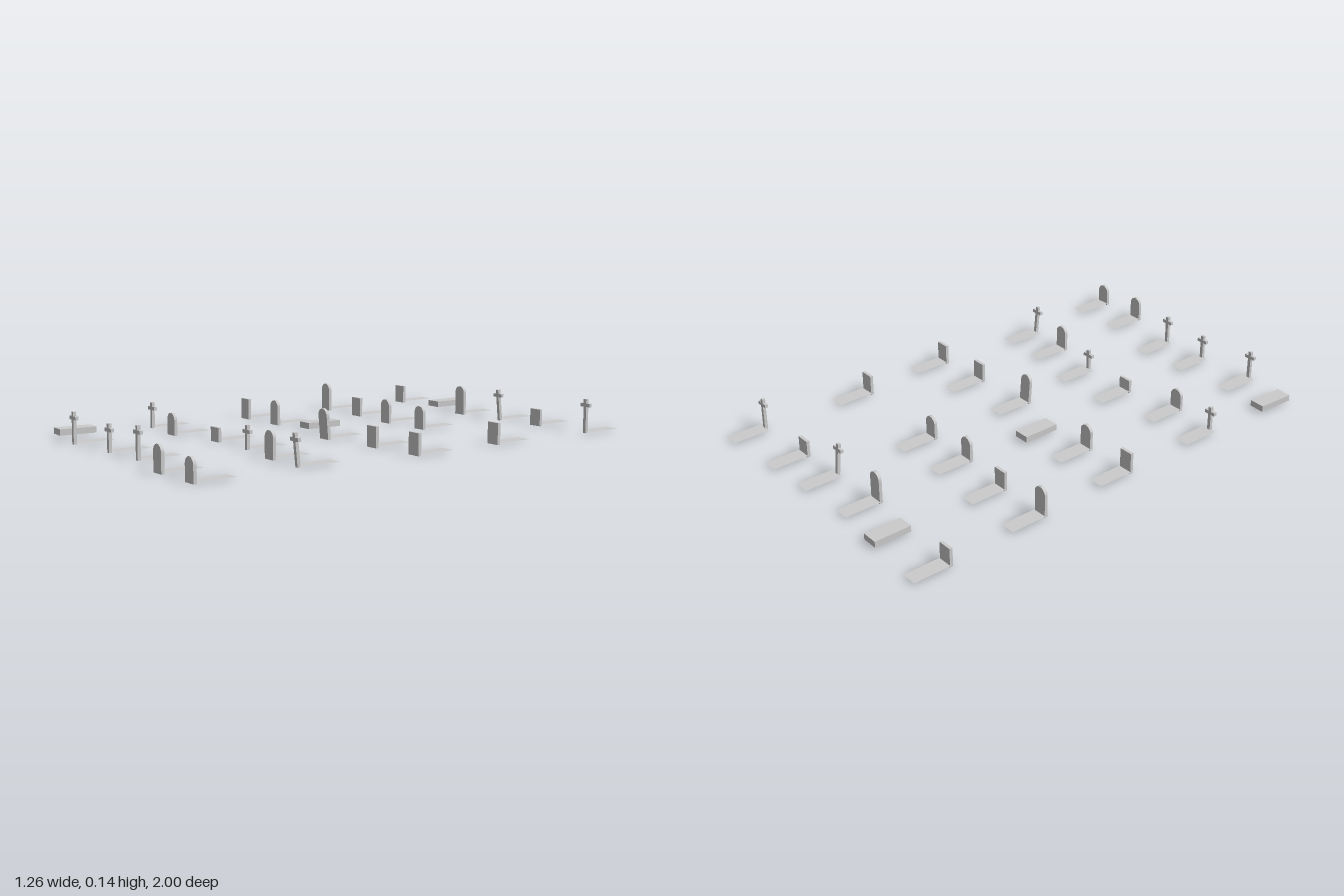
import * as THREE from 'three';

const material = new THREE.MeshStandardMaterial({ color: 0xcccccc, flatShading: true, side: THREE.DoubleSide });
const PLOT_W = 0.063, PLOT_L = 0.155, PLOT_Y = 0.008, THICK = 0.013;

// Each row of graves: [kind, x, z of the plot's front edge, height, forward lean]
const rows = [
  [['square', -0.6, -0.84, 0.077], ['slab', -0.345, -0.825, 0.033], ['arch', -0.125, -0.8, 0.124],
    ['cross', 0.115, -0.815, 0.133, 0.1], ['square', 0.32, -0.83, 0.07], ['cross', 0.585, -0.848, 0.138]],
  [['arch', -0.58, -0.397, 0.12], ['square', -0.35, -0.397, 0.08], ['arch', -0.11, -0.37, 0.1],
    ['arch', 0.11, -0.375, 0.095], ['square', 0.575, -0.36, 0.085]],
  [['square', -0.56, 0.045, 0.087], ['arch', -0.34, 0.04, 0.103], ['slab', -0.14, 0.033, 0.033],
    ['arch', 0.095, 0.092, 0.122, 0.08], ['square', 0.365, 0.065, 0.083], ['square', 0.595, 0.047, 0.085]],
  [['cross', -0.555, 0.505, 0.107], ['arch', -0.345, 0.53, 0.09], ['square', -0.1, 0.475, 0.057],
    ['cross', 0.135, 0.48, 0.094], ['arch', 0.36, 0.525, 0.107], ['cross', 0.55, 0.535, 0.125, 0.1]],
  [['slab', -0.57, 0.927, 0.033, 0, -0.05], ['cross', -0.36, 0.95, 0.127], ['cross', -0.105, 0.93, 0.11],
    ['cross', 0.1, 0.92, 0.127], ['arch', 0.37, 0.985, 0.103], ['arch', 0.585, 0.985, 0.09]],
];

function addMesh(parent, name, geometry) {
  const mesh = new THREE.Mesh(geometry, material);
  mesh.name = name;
  parent.add(mesh);
  return mesh;
}

function extrude(shape) {
  return new THREE.ExtrudeGeometry(shape, { depth: THICK, bevelEnabled: false, curveSegments: 8 })
    .translate(0, 0, -THICK / 2);
}

// Headstone with a semicircular top
function archStone(height) {
  const r = 0.0275;
  const s = new THREE.Shape();
  s.moveTo(-r, 0);
  s.lineTo(r, 0);
  s.lineTo(r, height - r);
  s.absarc(0, height - r, r, 0, Math.PI, false);
  s.lineTo(-r, 0);
  return extrude(s);
}

// Plain rectangular headstone
function squareStone(height) {
  return new THREE.BoxGeometry(0.057, height, THICK).translate(0, height / 2, 0);
}

// Cross outline: post half width p, arm half length a
function crossStone(height) {
  const p = 0.007, a = 0.025, top = height - 0.017, low = top - 0.014;
  const half = [[p, 0], [p, low], [a, low], [a, top], [p, top], [p, height]];
  const mirrored = half.map(([x, y]) => [-x, y]).reverse();
  return extrude(new THREE.Shape([...half, ...mirrored].map(([x, y]) => new THREE.Vector2(x, y))));
}

const stones = { arch: archStone, square: squareStone, cross: crossStone };

function createGrave([kind, x, zFront, height, lean = 0, turn = 0]) {
  const grave = new THREE.Group();
  grave.name = kind + 'Grave';
  grave.position.set(x, 0, zFront - PLOT_L / 2);
  grave.rotation.y = turn;
  if (kind === 'slab') {
    // Raised tomb slab without a headstone
    const h = height - PLOT_Y;
    addMesh(grave, 'tombSlab', new THREE.BoxGeometry(PLOT_W + 0.003, h, PLOT_L).translate(0, PLOT_Y + h / 2, 0));
    return grave;
  }
  // Flat plot with the marker standing at its front edge
  addMesh(grave, 'plot', new THREE.PlaneGeometry(PLOT_W, PLOT_L).rotateX(-Math.PI / 2).translate(0, PLOT_Y, 0));
  const stone = addMesh(grave, kind + 'Headstone', stones[kind](height));
  stone.position.z = PLOT_L / 2 + 0.003;
  stone.rotation.x = lean;
  return grave;
}

export function createModel() {
  const model = new THREE.Group();
  model.name = 'graveyard';
  rows.forEach((row, i) => {
    const group = new THREE.Group();
    group.name = 'graveRow' + (i + 1);
    row.forEach((g) => group.add(createGrave(g)));
    model.add(group);
  });
  return model;
}
